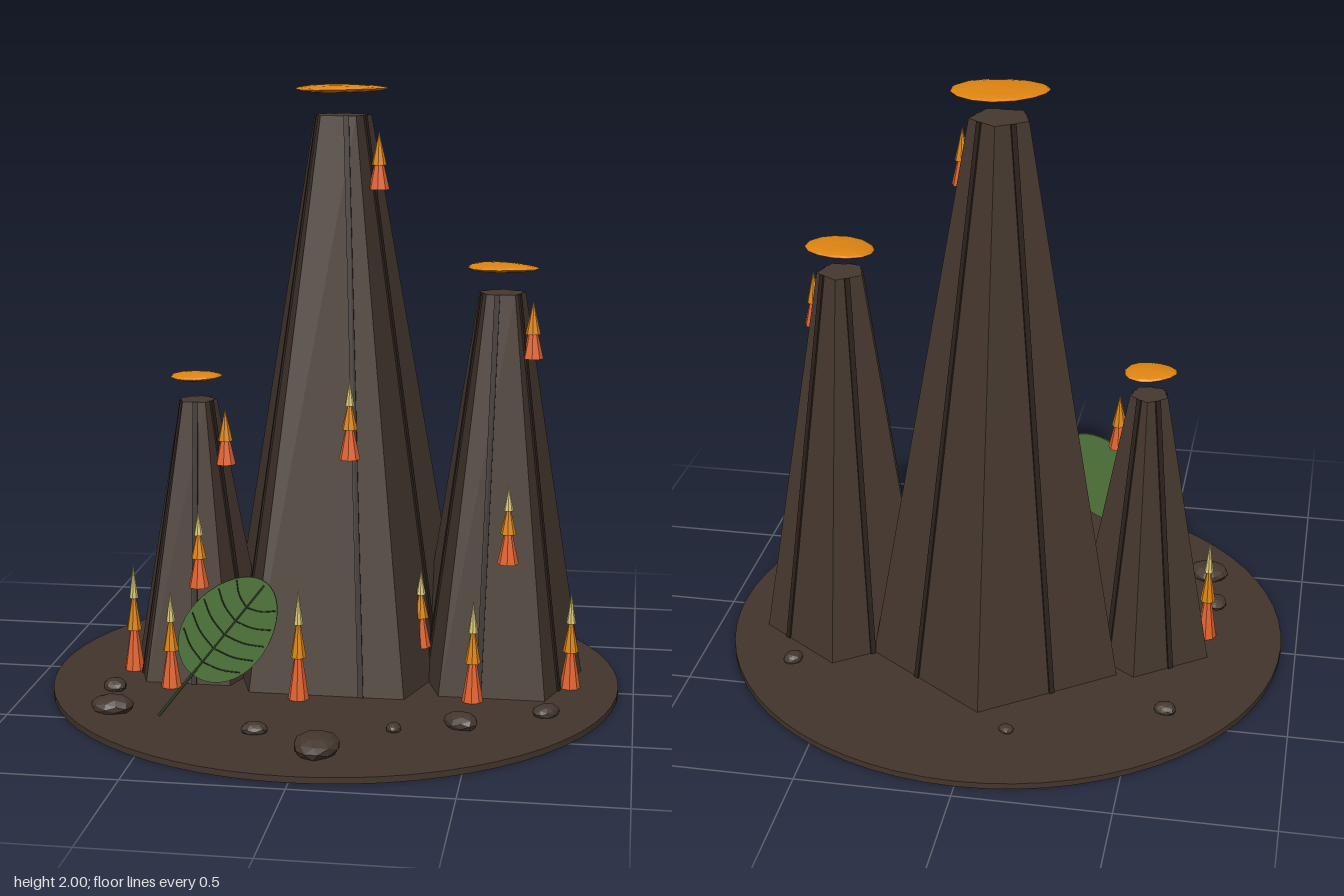
import * as THREE from 'three';

const mat = (name, color, extra = {}) => {
  const m = new THREE.MeshStandardMaterial({ color, ...extra });
  m.name = name;
  return m;
};

export function createModel() {
  const flat = { flatShading: true };
  const M = {
    ground: mat('ground brown', 0x43352d),
    stone: mat('tower stone', 0x46382f, flat),
    groove: mat('dark groove', 0x2c221c, flat),
    rock: mat('rock brown', 0x44372f, flat),
    lava: mat('amber', 0xdd8411, flat),
    red: mat('ember red', 0xe2632e, flat),
    pale: mat('pale flame', 0xdcc878, flat),
    leaf: mat('leaf green', 0x50753a),
    vein: mat('dark vein', 0x2c3a20),
  };
  const root = new THREE.Group();
  const add = (name, geo, material, parent = root, x = 0, y = 0, z = 0) => {
    const m = new THREE.Mesh(geo, material);
    m.name = name;
    m.position.set(x, y, z);
    parent.add(m);
    return m;
  };
  const V = (x, y, z) => new THREE.Vector3(x, y, z);

  // round ground plate
  add('groundPlate', new THREE.CylinderGeometry(0.95, 0.95, 0.02, 64), M.ground, root, 0, 0.01, 0);

  // five-sided towers with raised dark strips and a floating amber disc
  const towers = [
    { x: 0, z: -0.13, r: 0.44, t: 0.1, h: 1.9, dy: 1.985, dx: 0.16, dz: 0.12, turn: 0.25, strips: [15, 72, 158, 232, 312] },
    { x: 0.54, z: -0.067, r: 0.298, t: 0.08, h: 1.33, dy: 1.412, dx: 0.125, dz: 0.095, turn: -0.35, strips: [30, 100, 165, 240, 320] },
    { x: -0.475, z: -0.027, r: 0.246, t: 0.066, h: 0.953, dy: 1.032, dx: 0.09, dz: 0.075, turn: 0.35, strips: [20, 84, 150, 235, 300] },
  ];
  const step = Math.PI * 0.4;
  towers.forEach((t) => {
    const g = new THREE.Group();
    g.name = 'tower';
    g.position.set(t.x, 0, t.z);
    root.add(g);
    const len = t.h - 0.01;
    add('towerBody', new THREE.CylinderGeometry(t.t, t.r, len, 5), M.stone, g, 0, 0.01 + len / 2, 0)
      .rotation.y = Math.PI;

    t.strips.forEach((deg) => {
      const a = THREE.MathUtils.degToRad(deg);
      const face = Math.PI / 2 + Math.round((a - Math.PI / 2) / step) * step;
      const reach = Math.cos(Math.PI / 5) / Math.cos(a - face);
      const at = (r, y) => V(Math.cos(a) * r * reach, y, Math.sin(a) * r * reach);
      const low = at(t.r, 0.01), high = at(t.t, t.h);
      const up = high.clone().sub(low), n = up.length();
      up.normalize();
      const side = V(Math.sin(face), 0, -Math.cos(face));
      side.addScaledVector(up, -side.dot(up)).normalize();
      const out = side.clone().cross(up);
      const strip = add('towerStrip', new THREE.BoxGeometry(0.018, n, 0.012), M.groove, g);
      strip.quaternion.setFromRotationMatrix(new THREE.Matrix4().makeBasis(side, up, out));
      strip.position.copy(low).add(high).multiplyScalar(0.5);
    });

    // slightly uneven flattened disc
    const geo = new THREE.SphereGeometry(1, 14, 8);
    const p = geo.attributes.position;
    for (let i = 0; i < p.count; i++) {
      const a = Math.atan2(p.getZ(i), p.getX(i));
      const k = 1 + 0.03 * Math.sin(3 * a + t.x * 5);
      p.setXYZ(i, p.getX(i) * k, p.getY(i) + 0.15 * Math.sin(2 * a) * Math.hypot(p.getX(i), p.getZ(i)), p.getZ(i) * k);
    }
    geo.scale(t.dx * 0.97, 0.014, t.dz);
    geo.computeVertexNormals();
    add('amberDisc', geo, M.lava, g, 0, t.dy, 0).rotation.y = t.turn;
  });

  // stacked-cone flames: x, z, base, top, tiers
  const flames = [
    [-0.69, 0.04, 0.02, 0.39, 3], [-0.525, 0.2, 0.02, 0.35, 3], [-0.085, 0.26, 0.02, 0.39, 3],
    [0.48, 0.2, 0.02, 0.36, 3], [0.79, 0.015, 0.02, 0.345, 3], [0.29, 0.02, 0.14, 0.405, 3],
    [-0.44, 0.14, 0.35, 0.61, 3], [0.065, 0.135, 0.8, 1.06, 3], [0.585, 0.135, 0.47, 0.73, 3],
    [0.13, -0.085, 1.66, 1.85, 2], [0.645, -0.03, 1.12, 1.31, 2], [-0.375, 0, 0.74, 0.93, 2],
  ];
  const tiers = {
    3: [[0, 0.62, 0.035], [0.38, 0.42, 0.026], [0.68, 0.32, 0.016]],
    2: [[0, 0.8, 0.035], [0.42, 0.58, 0.025]],
  };
  flames.forEach(([x, z, base, top, n]) => {
    const g = new THREE.Group();
    g.name = 'flame';
    g.position.set(x, base, z);
    root.add(g);
    const T = top - base;
    tiers[n].forEach(([b, h, r], i) => {
      add(['flameBase', 'flameMiddle', 'flameTip'][i], new THREE.ConeGeometry(r, h * T, 8),
        [M.red, M.lava, M.pale][i], g, 0, (b + h / 2) * T, 0);
    });
  });

  // scattered rocks: x, z, radius, top
  [
    [-0.66, 0.455, 0.072, 0.068], [0.05, 0.74, 0.085, 0.08], [0.465, 0.445, 0.057, 0.065],
    [0.725, 0.3, 0.047, 0.055], [-0.705, 0.25, 0.046, 0.055], [-0.17, 0.59, 0.045, 0.052],
    [0.26, 0.515, 0.028, 0.045], [-0.6, -0.45, 0.038, 0.05], [0.675, -0.365, 0.035, 0.05],
    [-0.11, -0.65, 0.027, 0.038],
  ].forEach(([x, z, r, top], i) => {
    const geo = new THREE.IcosahedronGeometry(1, 1);
    const p = geo.attributes.position;
    for (let j = 0; j < p.count; j++) {
      const k = 1 + 0.07 * Math.sin(p.getX(j) * 4 + i) * Math.cos(p.getZ(j) * 3 + i * 2);
      p.setXYZ(j, p.getX(j) * k, p.getY(j) * k, p.getZ(j) * k * 0.85);
    }
    const h = (top - 0.015) * 0.6;
    geo.scale(r, h, r);
    geo.computeVertexNormals();
    add('rock', geo, M.rock, root, x, top - h, z).rotation.y = i * 1.3 + (i === 0 ? -0.2 : 0);
  });

  // upright leaf, built along its own y axis and tilted
  const leaf = new THREE.Group();
  leaf.name = 'leaf';
  leaf.position.set(-0.255, 0.338, 0.55);
  leaf.rotation.z = -0.66;
  root.add(leaf);
  const a = 0.195, b = 0.132;
  const halfWidth = (y) => b * Math.sqrt(Math.max(0, 1 - (y / a) ** 2)) * (1 - 0.1 * y / a);
  const outline = [];
  for (let i = 0; i < 40; i++) {
    const t = i / 40 * Math.PI * 2, y = -a * Math.cos(t);
    outline.push(new THREE.Vector2(Math.sign(Math.sin(t)) * halfWidth(y), y));
  }
  add('leafBlade', new THREE.ExtrudeGeometry(new THREE.Shape(outline), { depth: 0.008, bevelEnabled: false }),
    M.leaf, leaf, 0, 0, -0.004);
  const tube = (name, pts, r) =>
    add(name, new THREE.TubeGeometry(new THREE.CatmullRomCurve3(pts), 10, r, 6), M.vein, leaf);
  tube('leafStem', [V(0, -0.375, 0), V(0, -0.28, 0), V(0, -0.17, 0.002)], 0.005);
  tube('midrib', [V(0, -0.18, 0.004), V(0, 0, 0.004), V(0, 0.185, 0.004)], 0.003);
  for (let i = 0; i < 5; i++) {
    const y = -0.14 + i * 0.058;
    [-1, 1].forEach((s) => {
      const w = halfWidth(y + 0.05) * 0.92;
      tube('sideVein', [V(0, y, 0.004), V(s * w * 0.55, y + 0.018, 0.004), V(s * w, y + 0.05, 0.004)], 0.0022);
    });
  }
  return root;
}
